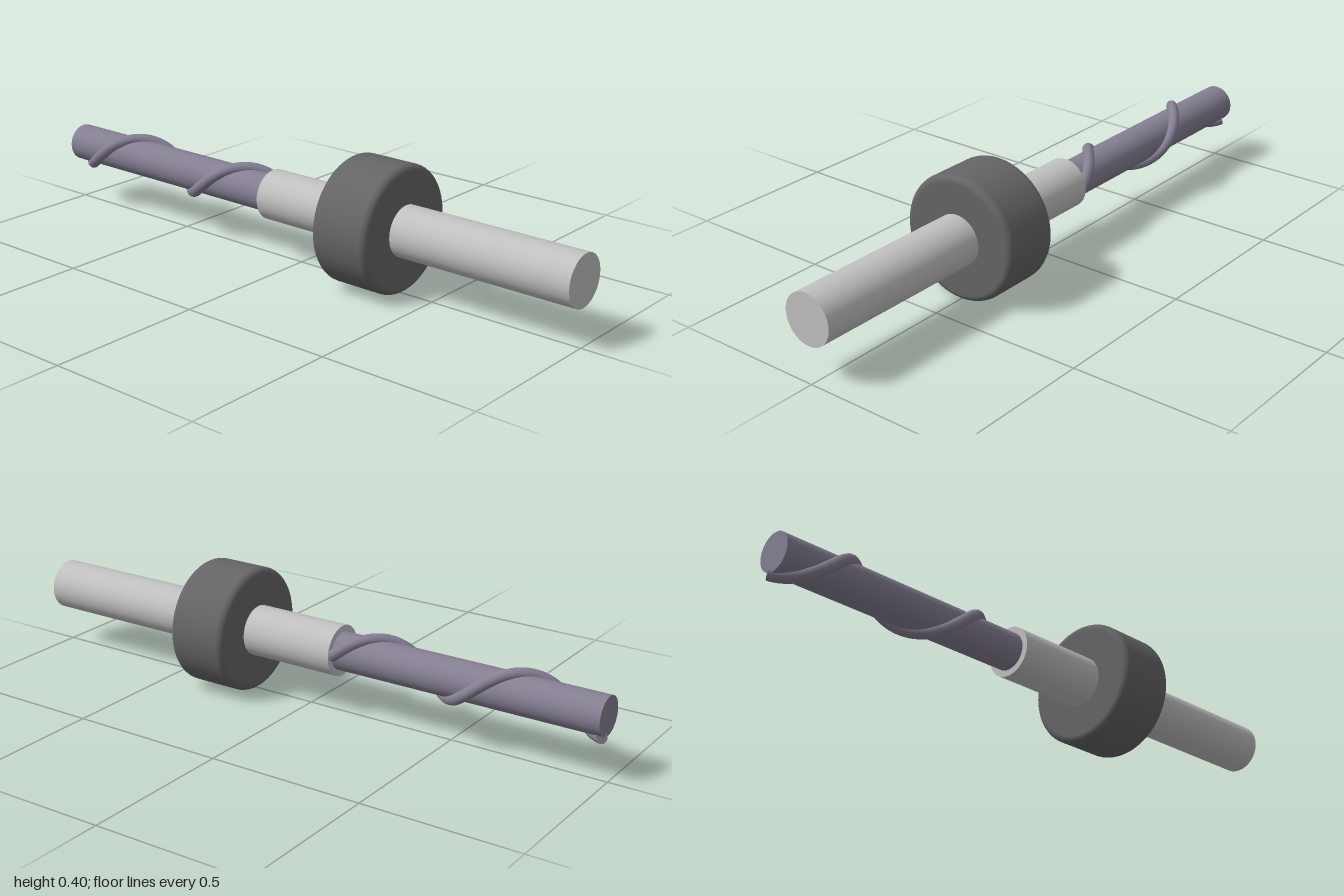
import * as THREE from 'three';

const AXIS_Y = 0.2;

function material(name, color) {
  const m = new THREE.MeshStandardMaterial({ color });
  m.name = name;
  return m;
}

// Round rod along z between two depths
function rod(name, radius, z0, z1, mat) {
  const geo = new THREE.CylinderGeometry(radius, radius, z1 - z0, 64).rotateX(Math.PI / 2);
  const mesh = new THREE.Mesh(geo, mat);
  mesh.name = name;
  mesh.position.set(0, AXIS_Y, (z0 + z1) / 2);
  return mesh;
}

// Ridge path winding round the bit
class Helix extends THREE.Curve {
  constructor(radius, pitch, z0, z1) {
    super();
    Object.assign(this, { radius, pitch, z0, z1 });
  }
  getPoint(t, target = new THREE.Vector3()) {
    const d = (this.z0 - this.z1) * t;
    const a = (d / this.pitch) * Math.PI * 2;
    return target.set(Math.cos(a) * this.radius, Math.sin(a) * this.radius, this.z0 - d);
  }
}

export function createModel() {
  const model = new THREE.Group();
  model.name = 'drillBit';
  const steel = material('lightSteel', 0xc0c0c0);
  const darkGrey = material('darkGrey', 0x656567);
  const violetGrey = material('violetGrey', 0x857f92);

  model.add(rod('shank', 0.08, -0.115, 1, steel));
  model.add(rod('bit', 0.06, -0.99, -0.1, violetGrey));

  // Collar with rounded rims
  const R = 0.198, H = 0.1, bevel = 0.022, steps = 6;
  const profile = [new THREE.Vector2(0.07, -H)];
  for (const side of [-1, 1]) {
    for (let i = 0; i <= steps; i++) {
      const a = (side < 0 ? i / steps - 1 : i / steps) * Math.PI / 2;
      profile.push(new THREE.Vector2(
        R - bevel + Math.cos(a) * bevel,
        side * (H - bevel) + Math.sin(a) * bevel));
    }
  }
  profile.push(new THREE.Vector2(0.07, H));
  const collar = new THREE.Mesh(new THREE.LatheGeometry(profile, 64).rotateX(Math.PI / 2), darkGrey);
  collar.name = 'collar';
  collar.position.set(0, AXIS_Y, 0.3);
  model.add(collar);

  // Spiral ridge with a flat end cap
  const spiral = new THREE.Group();
  spiral.name = 'spiralRidge';
  spiral.position.y = AXIS_Y;
  const path = new Helix(0.062, 0.478, -0.115, -0.985);
  const ridge = new THREE.Mesh(new THREE.TubeGeometry(path, 120, 0.018, 12), violetGrey);
  ridge.name = 'ridge';
  const cap = new THREE.Mesh(new THREE.CircleGeometry(0.018, 12), violetGrey);
  cap.name = 'ridgeEnd';
  cap.position.copy(path.getPoint(1));
  cap.quaternion.setFromUnitVectors(new THREE.Vector3(0, 0, 1), path.getTangent(1));
  spiral.add(ridge, cap);
  model.add(spiral);

  return model;
}
